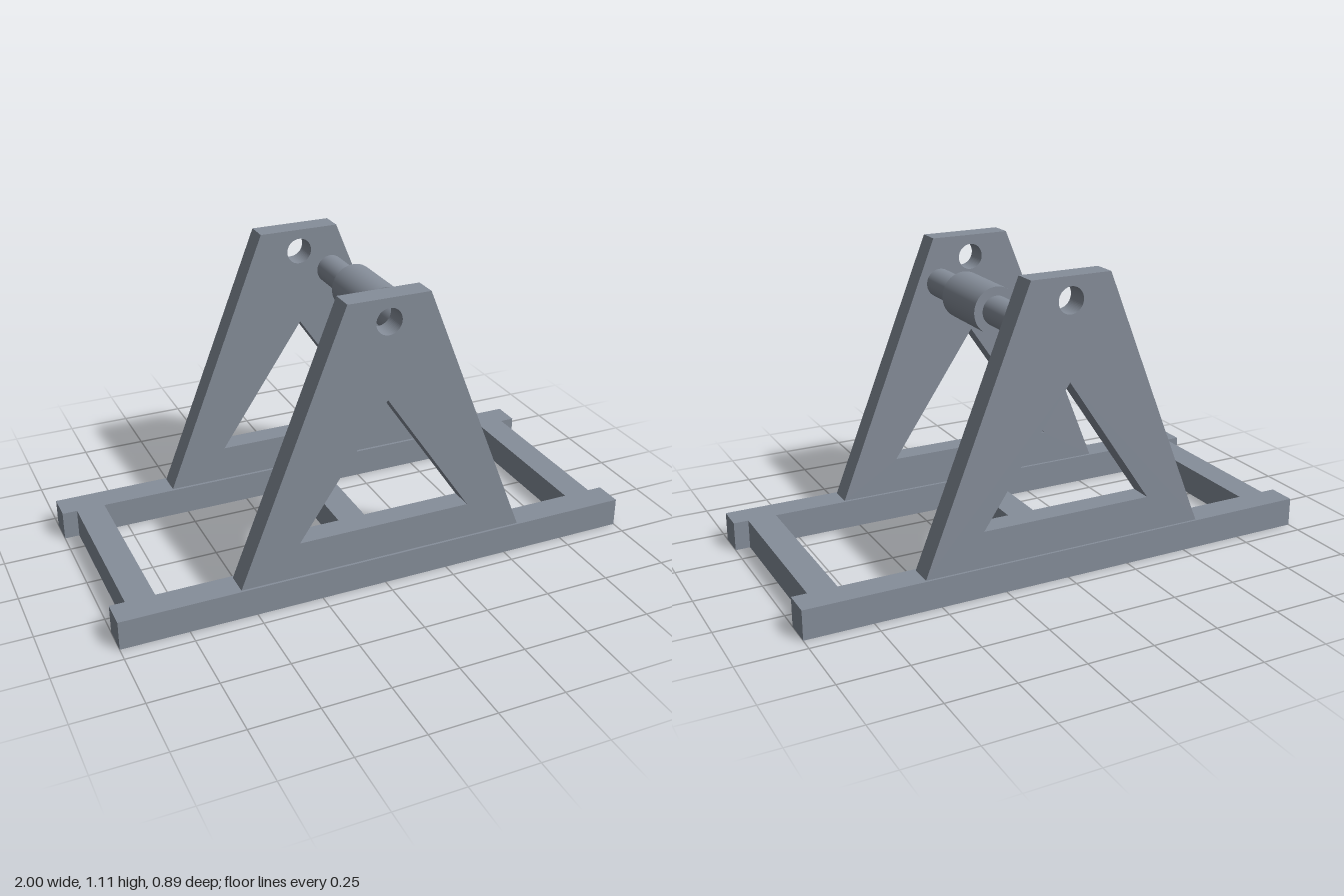
import * as THREE from 'three';

export function createModel() {
  const steel = new THREE.MeshStandardMaterial({ color: 0x868e9a });
  steel.name = 'blueGreySteel';
  const model = new THREE.Group();
  model.name = 'shaftStand';

  const add = (name, geometry, x, y, z) => {
    const mesh = new THREE.Mesh(geometry, steel);
    mesh.name = name;
    mesh.position.set(x, y, z);
    model.add(mesh);
    return mesh;
  };

  // Base frame: two long rails joined by three cross bars
  const railHeight = 0.11, railDepth = 0.108, railZ = 0.389;
  const innerSpan = 2 * railZ - railDepth;
  for (const [name, side] of [['frontRail', 1], ['backRail', -1]]) {
    add(name, new THREE.BoxGeometry(2, railHeight, railDepth), 0, railHeight / 2, side * railZ);
  }
  for (const [name, x] of [['rightCrossBar', -0.89], ['middleCrossBar', 0], ['leftCrossBar', 0.89]]) {
    add(name, new THREE.BoxGeometry(0.108, railHeight, innerSpan), x, railHeight / 2, 0);
  }

  // Tapered side plates with a triangular window and a round bore
  const outline = new THREE.Shape([
    new THREE.Vector2(-0.555, 0.11),
    new THREE.Vector2(0.555, 0.11),
    new THREE.Vector2(0.155, 1.11),
    new THREE.Vector2(-0.155, 1.11),
  ]);
  const windowHole = new THREE.Path([
    new THREE.Vector2(-0.333, 0.245),
    new THREE.Vector2(0, 0.735),
    new THREE.Vector2(0.333, 0.245),
  ]);
  const bore = new THREE.Path();
  bore.absarc(0, 1.025, 0.049, 0, Math.PI * 2, true);
  outline.holes.push(windowHole, bore);

  const plateDepth = 0.088;
  const plate = new THREE.ExtrudeGeometry(outline, {
    depth: plateDepth, bevelEnabled: false, curveSegments: 32,
  });
  plate.translate(0, 0, -plateDepth / 2);
  add('frontPlate', plate, 0, 0, 0.39);
  add('backPlate', plate, 0, 0, -0.39);

  // Shaft between the plates with a thicker drum in the middle
  const shaftX = 0.13, shaftY = 0.935;
  const shaft = new THREE.CylinderGeometry(0.055, 0.055, 0.692, 48).rotateX(Math.PI / 2);
  add('shaft', shaft, shaftX, shaftY, 0);
  const drum = new THREE.CylinderGeometry(0.088, 0.088, 0.266, 48).rotateX(Math.PI / 2);
  add('drum', drum, shaftX, shaftY, 0);

  return model;
}
